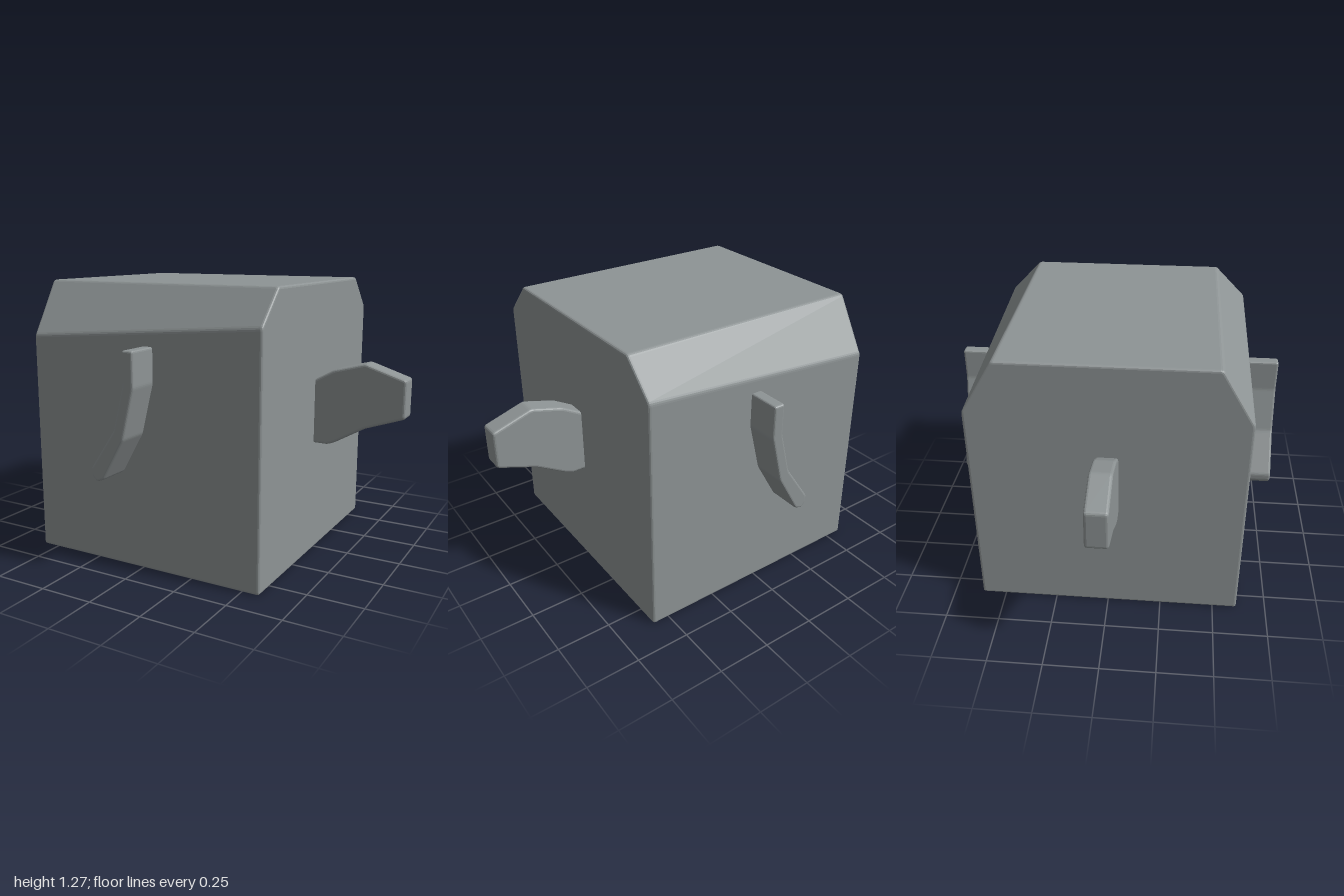
import * as THREE from 'three';

const material = new THREE.MeshStandardMaterial({ color: 0x8e9495 });

// Closed outline with softened corners
function roundedShape(points, r) {
  const pts = points.map(([x, y]) => new THREE.Vector2(x, y));
  const n = pts.length;
  const toward = (a, b) => a.clone().add(b.clone().sub(a).setLength(Math.min(r, a.distanceTo(b) * 0.4)));
  const shape = new THREE.Shape();
  pts.forEach((p, i) => {
    const start = toward(p, pts[(i + n - 1) % n]);
    const end = toward(p, pts[(i + 1) % n]);
    if (i === 0) shape.moveTo(start.x, start.y);
    else shape.lineTo(start.x, start.y);
    shape.quadraticCurveTo(p.x, p.y, end.x, end.y);
  });
  shape.closePath();
  return shape;
}

// Slab of the given total depth, centred on z, with bevelled rims
function slab(points, depth, r) {
  const geometry = new THREE.ExtrudeGeometry(roundedShape(points, r), {
    depth: depth - 2 * r, curveSegments: 3,
    bevelThickness: r, bevelSize: r, bevelOffset: -r, bevelSegments: 3,
  });
  geometry.translate(0, 0, -depth / 2 + r);
  return geometry;
}

function addMesh(group, name, geometry) {
  const mesh = new THREE.Mesh(geometry, material);
  mesh.name = name;
  group.add(mesh);
}

export function createModel() {
  const group = new THREE.Group();
  group.name = 'chamferedBlock';

  // Body: block with sloped front and back top edges
  const body = slab([
    [-0.613, 0], [0.613, 0], [0.613, 1.07], [0.465, 1.27], [-0.465, 1.27], [-0.613, 1.07],
  ], 1.165, 0.012);
  body.rotateY(Math.PI / 2);
  // The lower chamfer edge rises toward the left side; the slope's even
  // normals are kept so the slightly twisted face shades as one
  const pos = body.attributes.position;
  for (let i = 0; i < pos.count; i++) {
    const y = pos.getY(i);
    if (y > 1 && y < 1.15) pos.setY(i, y + pos.getX(i) * 0.08);
  }
  addMesh(group, 'body', body);

  // Curved fin running through the body, showing at front and back
  addMesh(group, 'curvedFin', slab([
    [0.015, 1.01], [0.015, 0.865], [-0.037, 0.665], [-0.16, 0.485], [-0.157, 0.45],
    [-0.133, 0.426], [-0.096, 0.44], [0.012, 0.628], [0.069, 0.855], [0.069, 1.01],
  ], 1.52, 0.01));

  // Side wings, mirrored
  const wing = [
    [0.5, 0.532], [0.645, 0.53], [0.68, 0.543], [0.82, 0.624], [1, 0.687],
    [1, 0.859], [0.815, 0.919], [0.67, 0.88], [0.58, 0.83], [0.5, 0.785],
  ];
  addMesh(group, 'leftWing', slab(wing, 0.1, 0.012));
  addMesh(group, 'rightWing', slab(wing.map(([x, y]) => [-x, y]).reverse(), 0.1, 0.012));

  return group;
}
